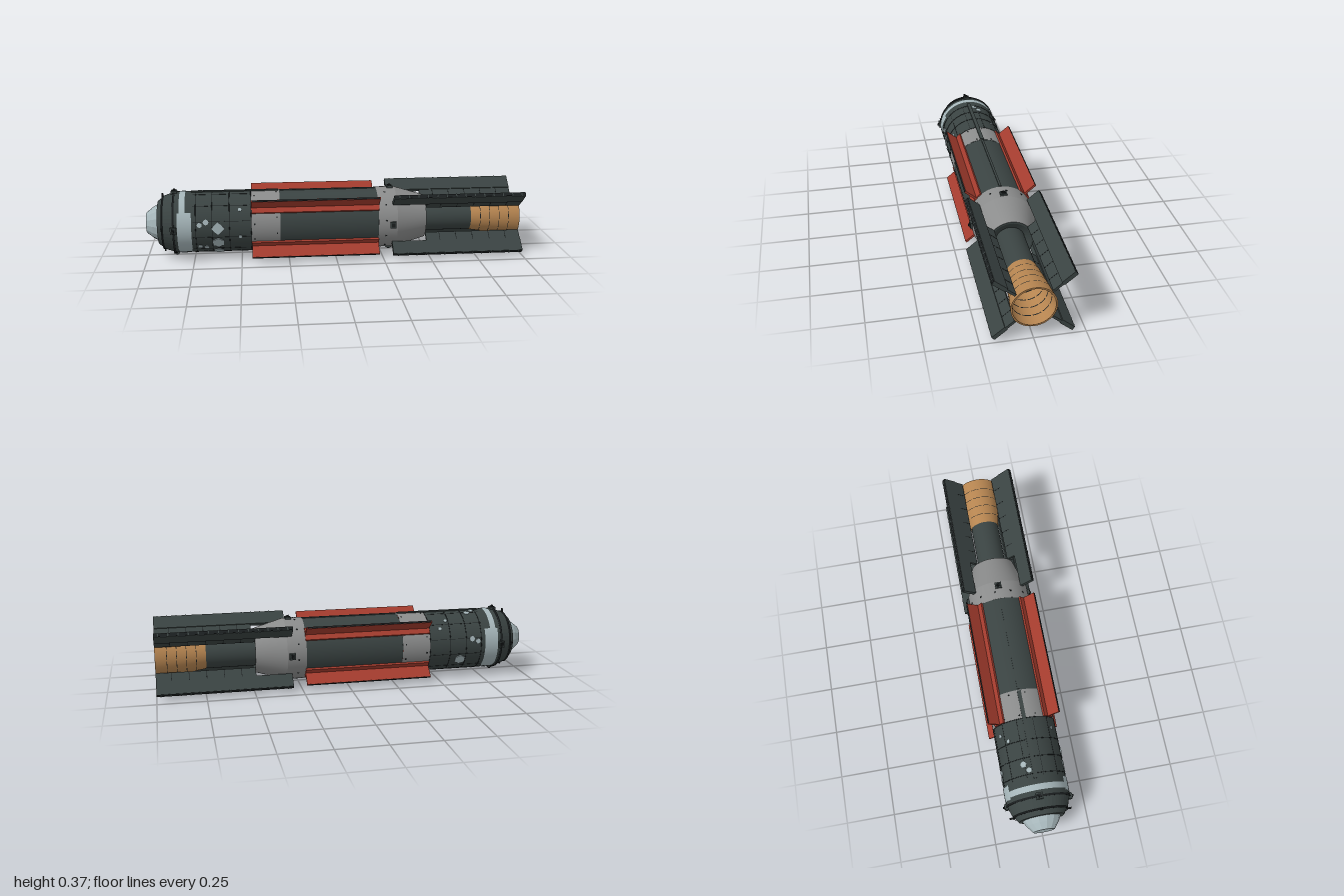
import * as THREE from 'three';

const mat = (name, color, side = THREE.FrontSide) => {
  const m = new THREE.MeshStandardMaterial({ color, side });
  m.name = name;
  return m;
};
const AXIS_Y = 0.183, R = 0.163, RAD = Math.PI / 180;

export function createModel() {
  const M = {
    dark: mat('dark grey green', 0x3a4342, THREE.DoubleSide),
    black: mat('black', 0x1b1f20),
    grey: mat('mid grey', 0x8b8c8c, THREE.DoubleSide),
    ice: mat('pale blue grey', 0xa6b6ba, THREE.DoubleSide),
    red: mat('brick red', 0xa43c2e),
    tan: mat('tan', 0xb58450, THREE.DoubleSide),
  };
  const model = new THREE.Group();
  model.name = 'missileStage';
  const body = new THREE.Group();
  body.name = 'body';
  body.position.y = AXIS_Y;
  model.add(body);

  // Surface of revolution about x from [x, radius] pairs; start and sweep in degrees from +z, upward
  function turned(name, material, profile, { sides = 48, from = 0, sweep = 360, flat = false } = {}) {
    let g = new THREE.LatheGeometry(profile.map(([x, r]) => new THREE.Vector2(r, x)),
      sides, -(from + sweep) * RAD, sweep * RAD);
    g.rotateZ(-Math.PI / 2);
    if (flat) {
      g = g.toNonIndexed();
      g.computeVertexNormals();
    }
    const m = new THREE.Mesh(g, material);
    m.name = name;
    body.add(m);
    return m;
  }
  // Puts a mesh on the hull: angle 0 is the front, 90 the top; local z points outwards
  function around(name, geometry, material, x, r, angle) {
    const pivot = new THREE.Group();
    pivot.name = name;
    pivot.rotation.x = -angle * RAD;
    const m = new THREE.Mesh(geometry, material);
    m.name = name;
    m.position.set(x, 0, r);
    pivot.add(m);
    body.add(pivot);
  }
  // Box spanning x0..x1 along the hull and r0..r1 outwards
  const radialBox = (name, material, x0, x1, r0, r1, width, angle) =>
    around(name, new THREE.BoxGeometry(x1 - x0, width, r1 - r0), material, (x0 + x1) / 2, (r0 + r1) / 2, angle);
  const seamRing = (name, material, x, r, w = 0.004, lift = 0.0012) =>
    turned(name, material, [[x - w / 2, r - 0.002], [x - w / 2, r + lift], [x + w / 2, r + lift], [x + w / 2, r - 0.002]]);

  // Nose
  turned('noseCap', M.ice, [[-1, 0], [-1, 0.055], [-0.965, 0.083], [-0.935, 0.1]], { sides: 14, flat: true });
  turned('noseCollar', M.dark, [[-0.937, 0.09], [-0.937, 0.116], [-0.915, 0.132]], { flat: true });
  turned('noseShoulder', M.dark, [[-0.915, 0.132], [-0.905, 0.142], [-0.86, 0.158], [-0.85, R]], { flat: true });
  seamRing('noseRing', M.black, -0.91, 0.139, 0.008, 0.004);
  seamRing('shoulderRing', M.black, -0.85, R, 0.01, 0.003);

  // Hull sections
  turned('forwardHull', M.dark, [[-0.85, R], [-0.445, R]]);
  turned('greyBand', M.grey, [[-0.445, R], [-0.295, R]]);
  turned('motorHull', M.dark, [[-0.295, R - 0.001], [0.23, R - 0.001]]);
  turned('aftCylinder', M.grey, [[0.225, R - 0.002], [0.225, R + 0.001], [0.325, R + 0.001]]);
  turned('aftCone', M.grey, [[0.325, R + 0.001], [0.487, 0.116]]);
  turned('aftConeEnd', M.dark, [[0.487, 0.116], [0.487, 0.106], [0.465, 0.07]], { flat: true });
  for (const x of [-0.735, -0.65, -0.56, -0.447]) seamRing('hullSeam', M.black, x, R, 0.003);

  // Pale band with wide side panels
  turned('paleRing', M.ice, [[-0.82, R + 0.002], [-0.79, R + 0.002]]);
  for (const from of [-58, 148]) {
    turned('palePanel', M.ice, [[-0.83, R + 0.003], [-0.757, R + 0.003]], { from, sweep: 90, sides: 16 });
  }

  // Long seams and conduits
  for (let a = 0; a < 360; a += 30) {
    radialBox('longSeam', M.black, -0.75, -0.45, R - 0.002, R + 0.001, 0.002, a + 15);
  }
  for (const a of [90, 270]) {
    radialBox('conduit', M.dark, -0.76, -0.3, R - 0.004, R + 0.005, 0.02, a);
    radialBox('lowerConduit', M.dark, -0.29, 0.22, R - 0.004, R + 0.003, 0.012, a);
  }
  radialBox('bellyPlate', M.dark, -0.41, -0.345, R - 0.005, R + 0.01, 0.055, 270);

  // Flat patches and round ports on both sides: [x, angle, radius, sides]
  const patches = [
    [-0.62, 2, 0.035, 4], [-0.62, -28, 0.032, 6], [-0.62, -58, 0.03, 6],
    [-0.715, 9, 0.013, 12], [-0.682, 14, 0.015, 8], [-0.715, -37, 0.012, 12], [-0.682, -40, 0.013, 8],
    [-0.505, 36, 0.009, 10], [-0.505, -15, 0.009, 10],
    [-0.715, 99, 0.013, 12], [-0.682, 107, 0.016, 8], [-0.545, 127, 0.009, 10],
    [-0.715, 171, 0.013, 12], [-0.682, 166, 0.015, 8], [-0.62, 208, 0.03, 6], [-0.505, 144, 0.009, 10],
  ];
  for (const [x, a, r, sides] of patches) {
    around('hullPatch', new THREE.CylinderGeometry(r, r, 0.008, sides).rotateX(Math.PI / 2), M.ice, x, R - 0.001, a);
  }

  // Small dark fittings on the grey sections
  for (let i = 0; i < 12; i++) {
    const a = i * 30 + 8;
    radialBox('bandFitting', M.black, -0.432, -0.426, R - 0.003, R + 0.002, 0.008, a);
    radialBox('bandFitting', M.black, -0.315, -0.309, R - 0.003, R + 0.002, 0.008, a + 12);
    radialBox('coneFitting', M.black, 0.262, 0.27, R - 0.003, R + 0.003, 0.008, a);
  }

  // Thruster blocks
  for (const a of [0, 90, 180, 270]) {
    for (const x of [-0.85, 0.3]) {
      radialBox('thrusterBase', M.dark, x - 0.016, x + 0.016, R - 0.006, R + 0.01, 0.034, a);
      radialBox('thrusterBlock', M.black, x - 0.009, x + 0.009, R, R + 0.014, 0.022, a);
      radialBox('thrusterTip', M.black, x - 0.005, x + 0.005, R, R + 0.02, 0.009, a);
    }
    radialBox('noseAntenna', M.black, -0.915, -0.907, 0.13, 0.16, 0.012, a);
  }

  // Diagonal side panels and tail fins
  for (const a of [40, -40, 140, 220]) {
    radialBox('panelBase', M.red, -0.445, 0.228, R - 0.012, R + 0.006, 0.07, a);
    radialBox('panelFin', M.red, -0.445, 0.228, R, 0.239, 0.011, a);
    radialBox('panelFinEdge', M.black, -0.44, 0.223, 0.238, 0.2405, 0.009, a);

    radialBox('finOuter', M.dark, 0.3, 1, 0.168, 0.246, 0.021, a);
    radialBox('finInner', M.dark, 0.487, 1, 0.114, 0.17, 0.012, a);
    radialBox('finEdge', M.black, 0.302, 0.998, 0.2455, 0.2475, 0.017, a);
    for (let i = 0; i < 5; i++) {
      const x = 0.56 + i * 0.09;
      radialBox('finSeam', M.black, x, x + 0.003, 0.116, 0.168, 0.0135, a);
    }
    for (let i = 0; i < 14; i++) {
      const x = 0.325 + i * 0.05;
      radialBox('finEdgeRib', M.dark, x, x + 0.006, 0.24, 0.2485, 0.02, a);
    }
  }

  // Engine, slightly below the hull axis
  const engine = new THREE.Group();
  engine.name = 'engine';
  engine.position.y = -0.005;
  const bell = (x) => 0.078 + 0.031 * Math.pow((x - 0.74) / 0.26, 0.85);
  const stations = [0.74, 0.79, 0.84, 0.89, 0.94, 1];
  const parts = [
    turned('engineTube', M.dark, [[0.46, 0.076], [0.742, 0.076]]),
    turned('engineThroat', M.dark, [[0.76, 0.078], [0.76, 0]]),
    turned('nozzleOuter', M.tan, stations.map((x) => [x, bell(x)])),
    turned('nozzleInner', M.tan, [...stations].reverse().map((x) => [x, bell(x) - 0.005])),
    turned('nozzleRim', M.tan, [[1, bell(1)], [1, bell(1) - 0.008]]),
    turned('throatRim', M.tan, [[0.765, 0.08], [0.765, 0.073]]),
  ];
  // Broken dark rings inside and outside the nozzle
  for (const x of [0.79, 0.84, 0.89, 0.94]) {
    for (let k = 0; k < 12; k++) {
      const arc = { from: k * 30, sweep: 25, sides: 4 };
      parts.push(turned('nozzleBand', M.black, [[x - 0.0015, bell(x) + 0.001], [x + 0.0015, bell(x) + 0.001]], arc));
      parts.push(turned('nozzleInnerBand', M.black, [[x + 0.002, bell(x) - 0.006], [x - 0.002, bell(x) - 0.0075]], arc));
    }
  }
  engine.add(...parts);
  body.add(engine);
  return model;
}
